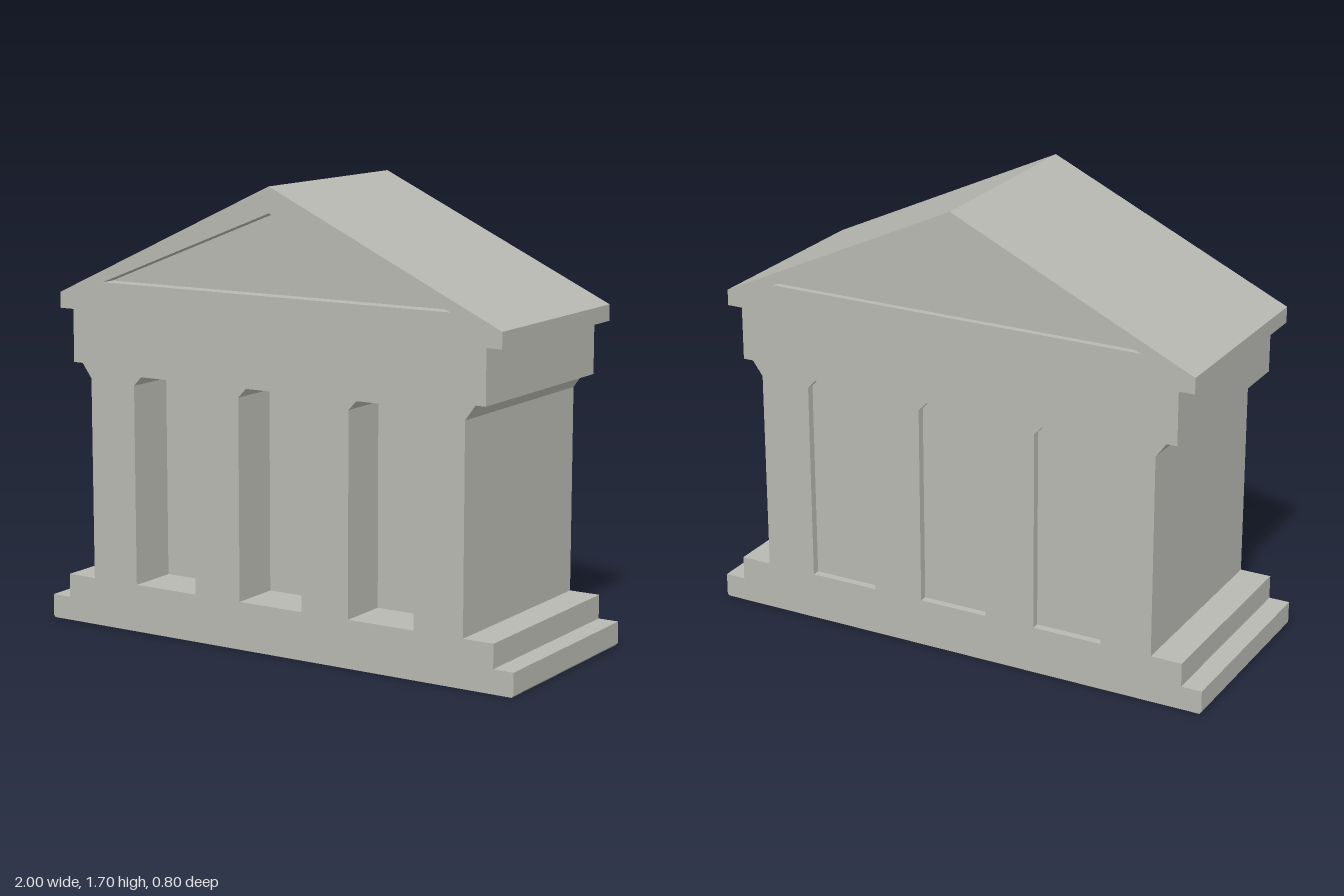
import * as THREE from 'three';

const HALF_DEPTH = 0.4;

// Right half of the building's silhouette, bottom to top
const HALF = [
  [0.993, 0], [1, 0.008], [1, 0.09], [0.92, 0.09], [0.92, 0.18], [0.8, 0.18],
  [0.8, 0.945], [0.84, 1], [0.88, 1], [0.88, 1.2], [0.94, 1.2], [0.94, 1.26],
];
const OUTLINE = [...HALF, [0, 1.7], ...HALF.map(([x, y]) => [-x, y]).reverse()];

// Recess outlines, all counter-clockwise
const PEDIMENT = [[-0.74, 1.31], [0.74, 1.31], [0, 1.605]];
const opening = (cx) => [
  [-0.135, 0.18], [0.135, 0.18], [0.135, 0.935], [0.102, 0.97], [-0.102, 0.97], [-0.135, 0.935],
].map(([x, y]) => [x + cx, y]);
const OPENINGS = [-0.467, 0, 0.467].map(opening);

const toPoints = (pts) => pts.map(([x, y]) => new THREE.Vector2(x, y));

// Flat-sided wall following a closed outline from z0 to z1
function wall(pts, z0, z1) {
  const pos = [];
  pts.forEach(([ax, ay], i) => {
    const [bx, by] = pts[(i + 1) % pts.length];
    pos.push(ax, ay, z0, bx, by, z0, bx, by, z1);
    pos.push(ax, ay, z0, bx, by, z1, ax, ay, z1);
  });
  const geo = new THREE.BufferGeometry();
  geo.setAttribute('position', new THREE.Float32BufferAttribute(pos, 3));
  geo.computeVertexNormals();
  return geo;
}

export function createModel() {
  const model = new THREE.Group();
  model.name = 'temple';
  const stone = new THREE.MeshStandardMaterial({ color: 0xb8b8b2 });
  stone.name = 'grey stone';

  const add = (parent, name, geo) => {
    const mesh = new THREE.Mesh(geo, stone);
    mesh.name = name;
    parent.add(mesh);
  };

  // Steps, side walls, cornice and roof as one continuous skin
  add(model, 'stepsWallsAndRoof', wall(OUTLINE, -HALF_DEPTH, HALF_DEPTH));

  // A facade with a sunken pediment and three sunken openings
  function facade(name, openingDepth, pedimentDepth) {
    const group = new THREE.Group();
    group.name = name;
    const shape = new THREE.Shape(toPoints(OUTLINE));
    const recess = (label, pts, depth) => {
      const z = HALF_DEPTH - depth;
      shape.holes.push(new THREE.Path(toPoints(pts)));
      add(group, label + 'Reveal', wall([...pts].reverse(), z, HALF_DEPTH));
      add(group, label + 'Panel', new THREE.ShapeGeometry(new THREE.Shape(toPoints(pts))).translate(0, 0, z));
    };
    recess('pediment', PEDIMENT, pedimentDepth);
    OPENINGS.forEach((pts) => recess('opening', pts, openingDepth));
    add(group, 'facadeFace', new THREE.ShapeGeometry(shape).translate(0, 0, HALF_DEPTH));
    model.add(group);
    return group;
  }

  facade('frontFacade', 0.2, 0.06);
  facade('backFacade', 0.03, 0.025).rotation.y = Math.PI;

  return model;
}
